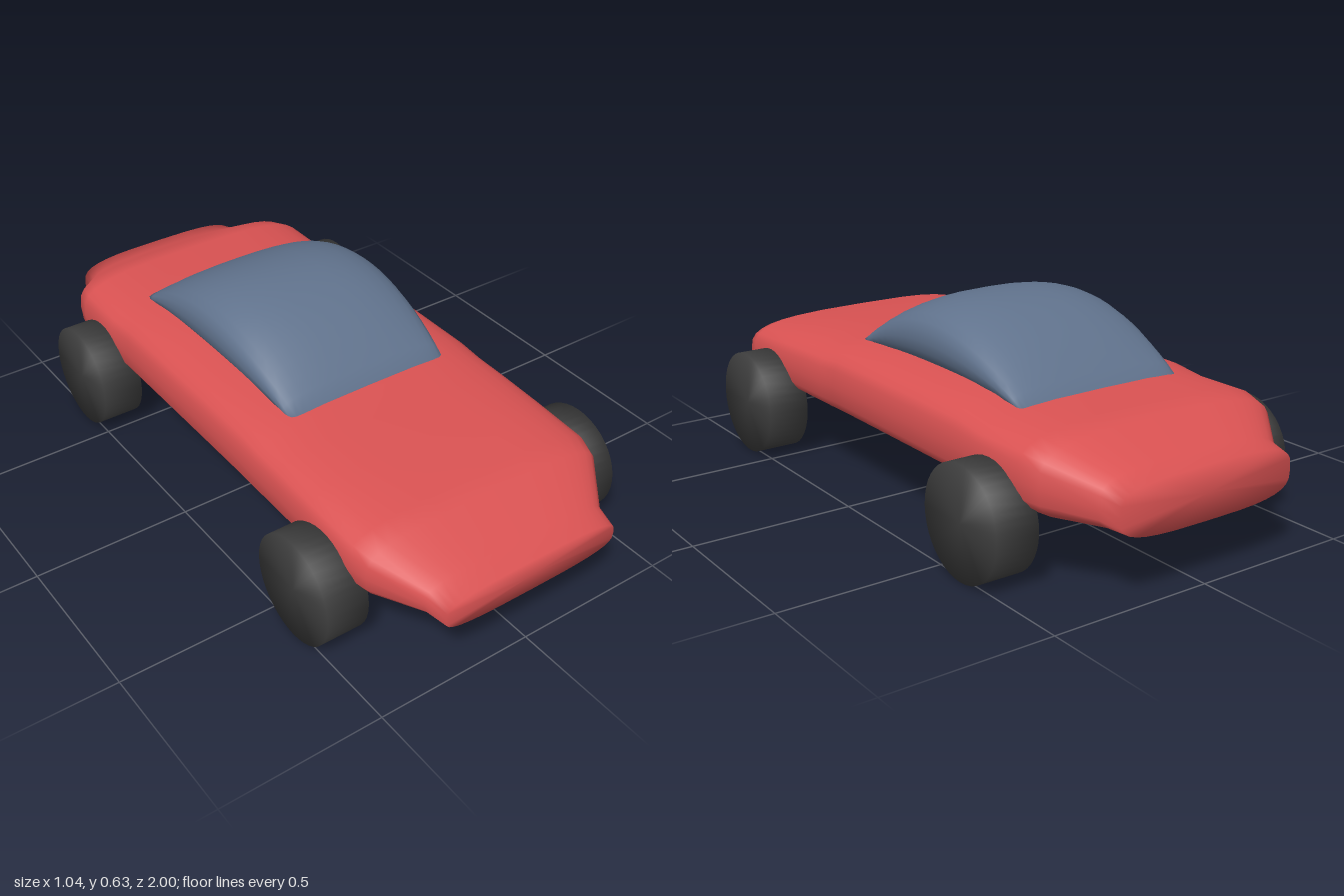
import * as THREE from 'three';
import { mergeVertices } from 'three/addons/utils/BufferGeometryUtils.js';

const SIDES = 32;

// Closed skin through rounded-box cross-sections, listed front (+z) to back.
// Each station: [z, halfWidth, bottomY, topY]; n sets how square the section is.
function loft(stations, n) {
  const pos = [], index = [];
  const power = (v) => Math.sign(v) * Math.pow(Math.abs(v), 2 / n);
  for (const [z, w, y0, y1] of stations) {
    for (let j = 0; j < SIDES; j++) {
      const a = (j / SIDES) * Math.PI * 2;
      pos.push(w * power(Math.cos(a)), (y0 + y1) / 2 + ((y1 - y0) / 2) * power(Math.sin(a)), z);
    }
  }
  const last = stations.length - 1;
  const front = pos.length / 3, back = front + 1;
  for (const s of [stations[0], stations[last]]) pos.push(0, (s[2] + s[3]) / 2, s[0]);
  for (let j = 0; j < SIDES; j++) {
    const k = (j + 1) % SIDES;
    for (let i = 0; i < last; i++) {
      const a = i * SIDES + j, b = i * SIDES + k;
      index.push(a, a + SIDES, b, b, a + SIDES, b + SIDES);
    }
    index.push(front, j, k, back, last * SIDES + k, last * SIDES + j);
  }
  const geo = new THREE.BufferGeometry();
  geo.setAttribute('position', new THREE.Float32BufferAttribute(pos, 3));
  geo.setIndex(index);
  geo.computeVertexNormals();
  return geo;
}

export function createModel() {
  const paint = new THREE.MeshStandardMaterial({ color: 0xd95252 });
  paint.name = 'red paint';
  const glass = new THREE.MeshStandardMaterial({ color: 0x60728c });
  glass.name = 'blue glass';
  const rubber = new THREE.MeshStandardMaterial({ color: 0x3c3c3c });
  rubber.name = 'dark rubber';

  const car = new THREE.Group();
  car.name = 'car';
  const add = (name, geo, mat) => {
    const mesh = new THREE.Mesh(geo, mat);
    mesh.name = name;
    car.add(mesh);
    return mesh;
  };

  // Body: low nose, long bonnet, slightly raised waist, sloping tail
  const b = 0.18;
  add('body', loft([
    [1, 0.3, b, 0.287], [0.93, 0.315, b, 0.305], [0.8, 0.41, b, 0.385],
    [0.74, 0.427, b, 0.404], [0.55, 0.43, b, 0.418], [0.4, 0.43, b, 0.428],
    [0.29, 0.43, b, 0.432], [0.2, 0.43, b, 0.444], [0, 0.43, b, 0.446],
    [-0.25, 0.43, b, 0.446], [-0.45, 0.43, b, 0.444], [-0.56, 0.43, b, 0.428],
    [-0.74, 0.429, b, 0.43], [-0.81, 0.41, b, 0.415], [-0.93, 0.315, b, 0.35],
    [-1, 0.3, b, 0.336],
  ], 3.4), paint);

  // Canopy: one arched glass bubble sunk into the body
  const arch = [];
  for (let i = 0; i <= 20; i++) {
    const t = 1 - i / 10;
    const rise = 1 - t * t;
    arch.push([-0.15 + 0.42 * t, 0.28 + 0.03 * rise, 0.39, 0.432 + 0.006 * t + 0.197 * rise]);
  }
  add('canopy', loft(arch, 2.5), glass);

  // Wheels: plain drums with normals shared across the rims
  const drum = new THREE.CylinderGeometry(0.166, 0.166, 0.134, 40);
  drum.deleteAttribute('normal');
  drum.deleteAttribute('uv');
  const wheel = mergeVertices(drum);
  wheel.rotateZ(Math.PI / 2);
  wheel.computeVertexNormals();
  for (const [end, z] of [['front', 0.62], ['rear', -0.62]]) {
    for (const [side, x] of [['Left', 0.453], ['Right', -0.453]]) {
      add(end + side + 'Wheel', wheel, rubber).position.set(x, 0.166, z);
    }
  }
  return car;
}
